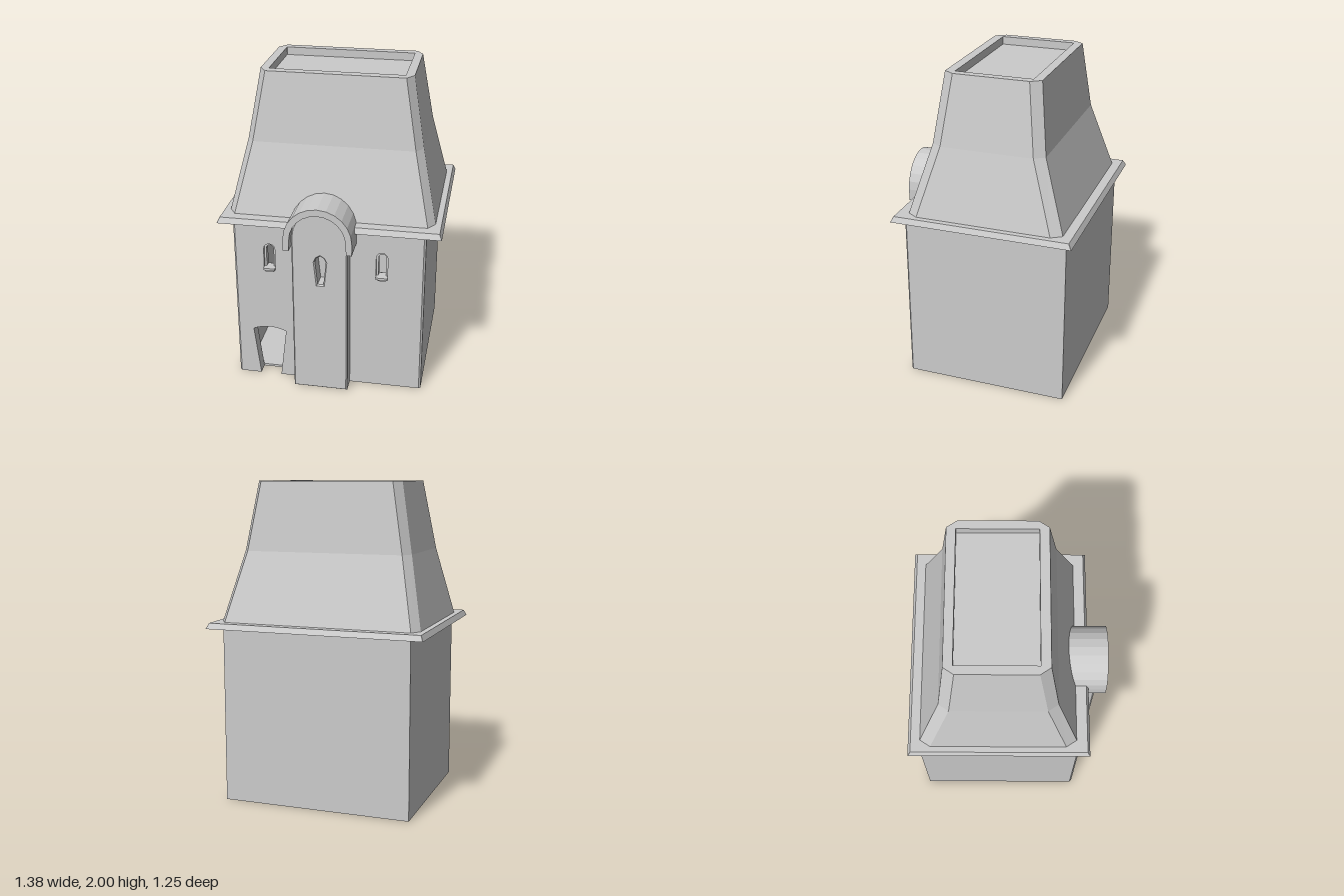
import * as THREE from 'three';

const mat = new THREE.MeshStandardMaterial({ color: 0xcccccc, flatShading: true, side: THREE.DoubleSide });

function add(parent, name, geometry, x = 0, y = 0, z = 0) {
  const mesh = new THREE.Mesh(geometry, mat);
  mesh.name = name;
  mesh.position.set(x, y, z);
  parent.add(mesh);
  return mesh;
}

const poly = (pts, Type = THREE.Shape) => new Type(pts.map(([x, y]) => new THREE.Vector2(x, y)));

const extrude = (shape, depth, options = {}) =>
  new THREE.ExtrudeGeometry(shape, { depth, bevelEnabled: false, curveSegments: 10, ...options });

// Points of a half circle, from right to left
function arc(cx, cy, r, n = 10) {
  return Array.from({ length: n + 1 }, (_, i) => {
    const a = (i / n) * Math.PI;
    return [cx + r * Math.cos(a), cy + r * Math.sin(a)];
  });
}

// Arched outline with a flat bottom
const archPts = (cx, y0, y1, r, n) => [[cx - r, y0], [cx + r, y0], ...arc(cx, y1 - r, r, n)];

// Rectangle with cut corners, counter-clockwise from above
function ring(y, x0, x1, z0, z1, cx = 0.001, cz = 0.001) {
  return [
    [x1, z1 - cz], [x1, z0 + cz], [x1 - cx, z0], [x0 + cx, z0],
    [x0, z0 + cz], [x0, z1 - cz], [x0 + cx, z1], [x1 - cx, z1],
  ].map(([x, z]) => [x, y, z]);
}

// Skin over a stack of rings, closed at both ends
function loft(rings) {
  const n = rings[0].length, pos = [];
  const tri = (...p) => p.forEach((v) => pos.push(...v));
  for (let k = 0; k < rings.length - 1; k++) {
    for (let i = 0; i < n; i++) {
      const j = (i + 1) % n, lo = rings[k], hi = rings[k + 1];
      tri(lo[i], lo[j], hi[j]);
      tri(lo[i], hi[j], hi[i]);
    }
  }
  const first = rings[0], last = rings[rings.length - 1];
  for (let i = 1; i < n - 1; i++) {
    tri(first[0], first[i + 1], first[i]);
    tri(last[0], last[i], last[i + 1]);
  }
  const g = new THREE.BufferGeometry();
  g.setAttribute('position', new THREE.Float32BufferAttribute(pos, 3));
  g.computeVertexNormals();
  return g;
}

export function createModel() {
  const model = new THREE.Group();
  model.name = 'towerHouse';

  // Side and back walls: a U-shaped plan with chamfered front corners
  const plan = poly([
    [-0.605, -0.57], [0.595, -0.57], [0.595, 0.448], [0.583, 0.46], [0.54, 0.46], [0.54, -0.52],
    [-0.55, -0.52], [-0.55, 0.46], [-0.593, 0.46], [-0.605, 0.448],
  ].map(([x, z]) => [x, -z]));
  add(model, 'sideAndBackWalls', extrude(plan, 1.11).rotateX(-Math.PI / 2));

  // Front wall with a keystone-shaped doorway and two arched windows
  const front = new THREE.Shape();
  front.moveTo(-0.55, 0);
  front.lineTo(-0.46, 0);
  front.lineTo(-0.5, 0.335);
  front.quadraticCurveTo(-0.39, 0.383, -0.285, 0.335);
  front.lineTo(-0.325, 0);
  front.lineTo(0.54, 0);
  front.lineTo(0.54, 1.11);
  front.lineTo(-0.55, 1.11);
  const windows = [-0.378, 0.33];
  windows.forEach((x) => front.holes.push(poly(archPts(x, 0.785, 0.96, 0.036, 6), THREE.Path)));
  add(model, 'frontWall', extrude(front, 0.08), 0, 0, 0.38);

  // Recessed window frames with small sills
  windows.forEach((x) => {
    const win = new THREE.Group();
    win.name = 'window';
    const frame = poly(archPts(0, 0.785, 0.96, 0.036, 6));
    frame.holes.push(poly(archPts(0, 0.795, 0.943, 0.023, 6), THREE.Path));
    add(win, 'windowFrame', extrude(frame, 0.04), 0, 0, 0.4);
    add(win, 'windowSill', new THREE.BoxGeometry(0.072, 0.014, 0.06), 0, 0.789, 0.45);
    add(win, 'sillBracket', new THREE.BoxGeometry(0.05, 0.012, 0.02), 0, 0.776, 0.46);
    win.position.x = x;
    model.add(win);
  });

  add(model, 'floor', new THREE.BoxGeometry(1.12, 0.015, 0.93), -0.005, 0.0085, -0.08);

  // Projecting stair tower with a tapered slit window
  const tower = poly(archPts(-0.04, 0, 1.255, 0.173, 10));
  tower.holes.push(poly([
    [-0.053, 0.76], [-0.017, 0.76], [-0.001, 0.915], [-0.012, 0.94], [-0.035, 0.955],
    [-0.058, 0.94], [-0.069, 0.915],
  ], THREE.Path));
  add(model, 'stairTower', extrude(tower, 0.165, {
    bevelEnabled: true, bevelSegments: 1, bevelSize: 0.008, bevelOffset: -0.008, bevelThickness: 0.01,
  }), 0, 0, 0.39);

  // Barrel hood over the tower
  const hood = poly([
    [-0.215, 1.01], [-0.25, 1.01], ...arc(-0.04, 1.085, 0.21, 12).reverse(),
    [0.17, 1.01], [0.135, 1.01], ...arc(-0.04, 1.08, 0.172, 12),
  ]);
  add(model, 'towerHood', extrude(hood, 0.325), 0, 0, 0.3);

  // Eaves slab with sloping edges
  add(model, 'eaves', loft([
    ring(1.1, -0.692, 0.69, -0.625, 0.51),
    ring(1.135, -0.676, 0.675, -0.606, 0.493),
  ]));

  // Bell-cast roof with chamfered corners and a sunken flat top
  add(model, 'roof', loft([
    ring(1.13, -0.642, 0.64, -0.55, 0.427, 0.042, 0.065),
    ring(1.57, -0.543, 0.54, -0.408, 0.295, 0.042, 0.063),
    ring(2, -0.467, 0.465, -0.357, 0.236, 0.042, 0.063),
    ring(2, -0.415, 0.413, -0.302, 0.178),
    ring(1.95, -0.415, 0.413, -0.302, 0.178),
  ]));

  return model;
}
